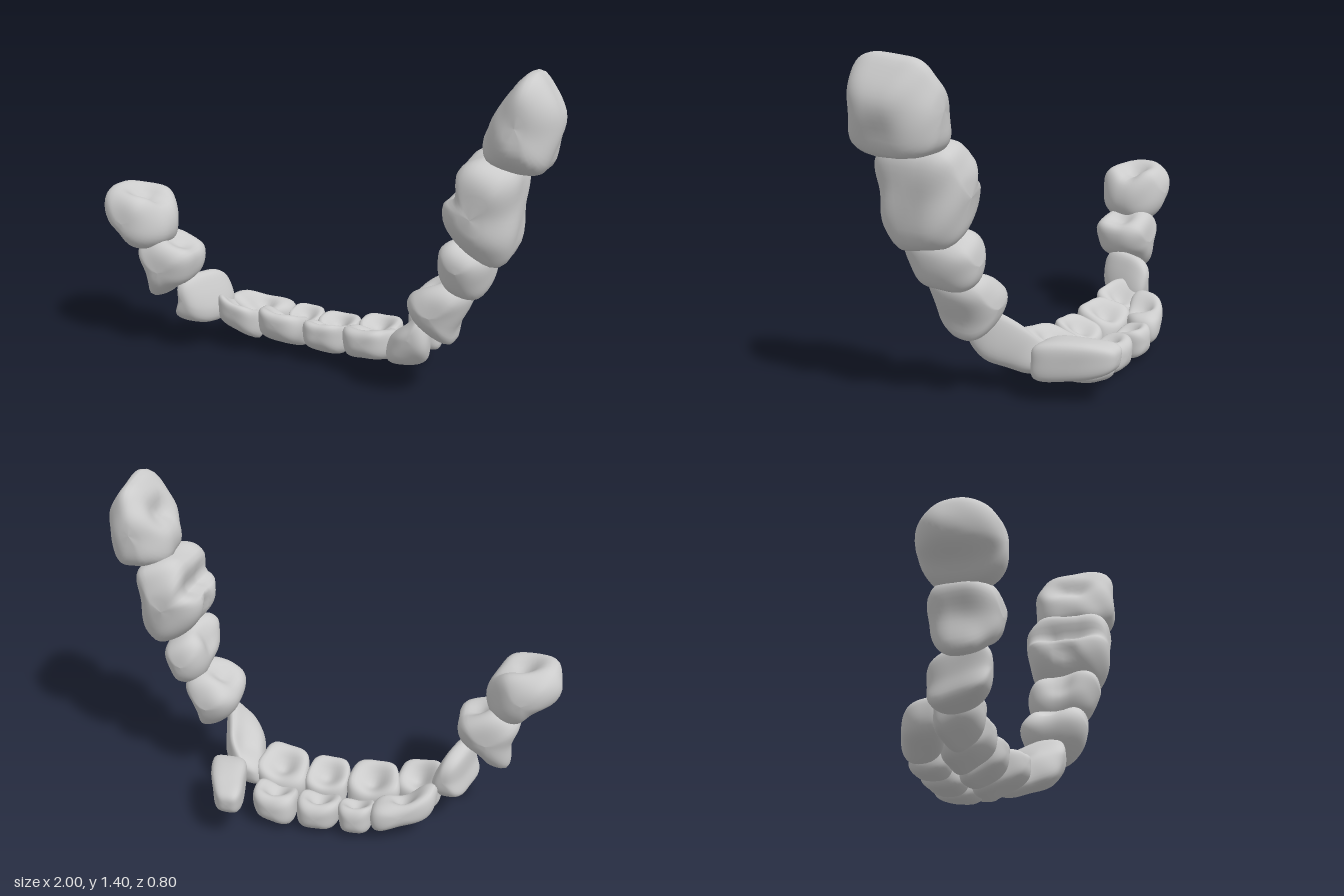
import * as THREE from 'three';

const material = new THREE.MeshStandardMaterial({ color: 0xcccccc });
const AROUND = 44, ALONG = 30;

// A rounded crown: a closed xy outline lofted along z with superellipse shrinkage.
// power = boxiness, shear = [dx, dy] at the front end, taper = growth towards the front, skew = z shift per x,
// bevel = narrowing in z at [both x sides, towards y], pits = [x, y, z, radius, depth] dents.
function crown(name, points, z0, z1, { power = 3, shear = [0, 0], taper = 0, skew = 0, bevel = [0, 0], pits = [] } = {}) {
  const outline = points.map(([x, y]) => new THREE.Vector3(x, y, 0));
  if (THREE.ShapeUtils.isClockWise(outline)) outline.reverse();
  const ring = new THREE.CatmullRomCurve3(outline, true, 'centripetal').getSpacedPoints(AROUND).slice(0, AROUND);
  const box = new THREE.Box3().setFromPoints(ring);
  const centre = box.getCenter(new THREE.Vector3()).setZ((z0 + z1) / 2);
  const half = box.getSize(new THREE.Vector3()).multiplyScalar(0.5);
  const positions = [], index = [];
  const v = new THREE.Vector3(), p = new THREE.Vector3(), push = new THREE.Vector3();
  for (let j = 0; j <= ALONG; j++) {
    const a = (j / ALONG) * Math.PI, c = -Math.cos(a);
    const t = Math.sign(c) * Math.abs(c) ** (2 / power);
    const s = Math.max(0, Math.sin(a)) ** (2 / power) * (1 + taper * t);
    for (const o of ring) {
      const dx = (o.x - centre.x) * s, dy = (o.y - centre.y) * s;
      const depth = Math.min(1, 1 - bevel[0] * (dx / half.x) ** 2 - bevel[1] * dy / half.y);
      v.set(
        centre.x + dx + shear[0] * t,
        centre.y + dy + shear[1] * t,
        centre.z + t * depth * (z1 - z0) / 2 + skew * dx);
      // gentle enamel unevenness
      const wave = 0.04 * Math.sin(v.x * 19 + v.y * 13) * Math.sin(v.z * 24 + v.y * 17);
      push.copy(v).sub(centre).multiplyScalar(wave);
      for (const [x, y, z, r, dent] of pits) {
        p.set(x, y, z);
        const fall = Math.exp(-v.distanceToSquared(p) / (r * r));
        push.addScaledVector(p.sub(centre).normalize(), -dent * fall);
      }
      v.add(push);
      positions.push(v.x, v.y, v.z);
    }
  }
  for (let j = 0; j < ALONG; j++) for (let i = 0; i < AROUND; i++) {
    const k = (i + 1) % AROUND, a = j * AROUND + i, b = j * AROUND + k;
    index.push(a, b, b + AROUND, a, b + AROUND, a + AROUND);
  }
  const geometry = new THREE.BufferGeometry();
  geometry.setAttribute('position', new THREE.Float32BufferAttribute(positions, 3));
  geometry.setIndex(index);
  geometry.computeVertexNormals();
  const mesh = new THREE.Mesh(geometry, material);
  mesh.name = name;
  return mesh;
}

// Rounded rectangular outline, narrower at the bottom, tilted by slope
function block(x0, x1, y0, y1, slope = 0) {
  const w = x1 - x0, h = y1 - y0, m = (x0 + x1) / 2;
  return [[x0 + 0.1 * w, y0 + 0.08 * h], [m, y0], [x1 - 0.1 * w, y0 + 0.08 * h], [x1, y0 + 0.5 * h],
    [x1 - 0.05 * w, y1 - 0.08 * h], [m, y1], [x0 + 0.05 * w, y1 - 0.08 * h], [x0, y0 + 0.5 * h]]
    .map(([x, y]) => [x, y + slope * (x - m)]);
}

export function createModel() {
  const model = new THREE.Group();
  model.name = 'toothArch';
  const add = (...args) => model.add(crown(...args));

  // Left column, rising outwards
  add('leftSecondMolar', [[0.71, 1.11], [0.73, 1.22], [0.82, 1.35], [0.89, 1.4], [0.95, 1.34], [1, 1.24],
    [0.98, 1.12], [0.95, 1.04], [0.88, 1.03], [0.73, 1.06]], 0, 0.4,
  { power: 3.5, shear: [0.01, 0.01], bevel: [0.38, 0.04], pits: [[0.76, 1.26, 0.14, 0.06, 0.05], [0.76, 1.26, 0.24, 0.06, 0.05]] });
  add('leftFirstMolar', [[0.57, 0.84], [0.58, 0.91], [0.63, 0.94], [0.64, 1.04], [0.73, 1.08], [0.85, 1.04],
    [0.86, 0.87], [0.84, 0.7], [0.79, 0.66], [0.7, 0.69], [0.6, 0.78]], -0.015, 0.39,
  { power: 3.8, bevel: [0.25, -0.14], pits: [[0.63, 0.94, 0.13, 0.06, 0.04], [0.63, 0.94, 0.26, 0.06, 0.04], [0.58, 0.84, 0.2, 0.05, 0.04]] });
  add('leftSecondPremolar', [[0.55, 0.6], [0.56, 0.7], [0.62, 0.74], [0.7, 0.72], [0.76, 0.66], [0.74, 0.53],
    [0.7, 0.49], [0.6, 0.51]], 0, 0.345,
  { power: 3, shear: [0, 0.02], bevel: [0.2, -0.15], pits: [[0.57, 0.68, 0.17, 0.07, 0.05]] });
  add('leftFirstPremolar', [[0.42, 0.44], [0.5, 0.53], [0.63, 0.54], [0.67, 0.48], [0.62, 0.34], [0.6, 0.27],
    [0.54, 0.28], [0.44, 0.36]], 0, 0.305,
  { power: 3, shear: [0, 0.01], bevel: [0.25, -0.25], pits: [[0.5, 0.53, 0.15, 0.06, 0.05]] });
  add('leftCanine', [[0.29, 0.1], [0.39, 0.1], [0.46, 0.14], [0.47, 0.24], [0.44, 0.34], [0.38, 0.29],
    [0.3, 0.21]], -0.09, 0.22, { power: 3, taper: 0.08, shear: [0.05, 0.05], pits: [[0.33, 0.28, 0, 0.07, 0.04]] });

  // Right column
  add('rightMolar', [[-0.7, 0.64], [-0.7, 0.54], [-0.75, 0.49], [-0.84, 0.49], [-0.9, 0.55], [-0.98, 0.61],
    [-1, 0.68], [-0.97, 0.75], [-0.87, 0.77], [-0.76, 0.74]], 0.02, 0.34,
  { power: 2.8, bevel: [0.25, -0.1], pits: [[-0.83, 0.77, 0.18, 0.07, 0.07], [-0.75, 0.74, 0.17, 0.05, 0.03]] });
  add('rightPremolar', [[-0.81, 0.26], [-0.74, 0.27], [-0.69, 0.31], [-0.6, 0.37], [-0.58, 0.48], [-0.64, 0.53],
    [-0.75, 0.55], [-0.85, 0.49], [-0.82, 0.38]], 0.02, 0.29,
  { power: 3, bevel: [0.22, -0.2], pits: [[-0.66, 0.53, 0.16, 0.06, 0.05]] });
  add('rightCanine', [[-0.66, 0.15], [-0.54, 0.14], [-0.52, 0.19], [-0.55, 0.3], [-0.59, 0.36], [-0.64, 0.35],
    [-0.65, 0.24]], -0.05, 0.22, { power: 2.8, shear: [-0.04, 0.01] });

  // Front row of incisors, thinning upwards to the front: x0, x1, y0, y1, z0, z1, skew, slope
  [[-0.55, -0.34, 0.08, 0.24, -0.04, 0.12, 0.15, -0.25], [-0.36, -0.13, 0.05, 0.21, -0.09, 0.1, 0.05, -0.08],
    [-0.13, 0.06, 0.04, 0.2, -0.09, 0.1, 0, 0], [0.06, 0.29, 0.05, 0.21, -0.1, 0.12, 0.12, 0.12]]
    .forEach(([x0, x1, y0, y1, z0, z1, skew, slope], i) => add(`frontIncisor${i + 1}`, block(x0, x1, y0, y1, slope), z0, z1,
      { power: 3, skew, taper: -0.12, shear: [0, 0.035], pits: [[(x0 + x1) / 2, y1, (z0 + z1) / 2 - 0.03, 0.065, 0.07]] }));

  // Rear row of incisors
  [[-0.54, -0.27, 0.06, 0.2, -0.21, -0.03, -0.4, -0.25], [-0.28, -0.13, 0.015, 0.17, -0.25, -0.08, -0.05, -0.08],
    [-0.13, 0.06, 0, 0.16, -0.25, -0.07, 0, 0], [0.06, 0.26, 0.015, 0.175, -0.27, -0.08, 0.1, 0.08]]
    .forEach(([x0, x1, y0, y1, z0, z1, skew, slope], i) => add(`rearIncisor${i + 1}`, block(x0, x1, y0, y1, slope), z0, z1,
      { power: 2.6, skew, taper: 0.05, pits: [[(x0 + x1) / 2, y1, (z0 + z1) / 2 + 0.03, 0.06, 0.07]] }));

  // Long canine pointing backwards
  add('rearCanine', block(0.28, 0.43, 0.1, 0.265), -0.4, -0.07, { power: 3.4, taper: 0.2, shear: [0.05, -0.015] });

  return model;
}
